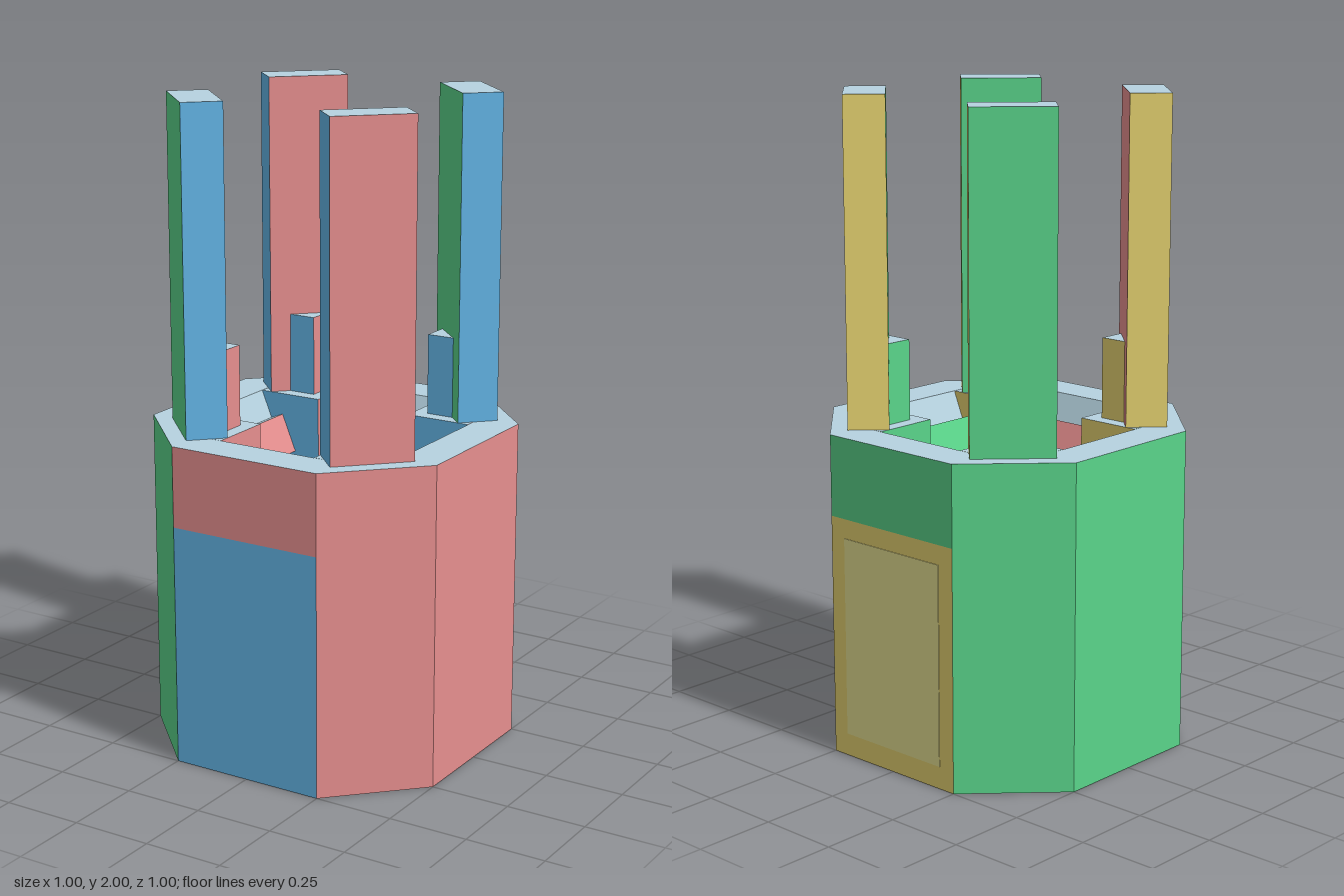
import * as THREE from 'three';

const flat = (name, color) => {
  const m = new THREE.MeshStandardMaterial({ color });
  m.name = name;
  return m;
};

export function createModel() {
  const red = flat('red', 0xe89090);
  const green = flat('green', 0x5ad48a);
  const blue = flat('blue', 0x68bcf0);
  const yellow = flat('yellow', 0xe8d471);
  const paleYellow = flat('pale yellow', 0xede796);
  const light = flat('light grey blue', 0xb6d3e0);
  const dark = flat('dark slate', 0x3a444c);

  // Face order: +x, -x, +y, -y, +z, -z
  const compass = [red, green, light, dark, blue, yellow];
  const model = new THREE.Group();
  model.name = 'octagonalTower';

  const box = (parent, name, size, pos, mats) => {
    const mesh = new THREE.Mesh(new THREE.BoxGeometry(...size), mats);
    mesh.name = name;
    mesh.position.set(...pos);
    parent.add(mesh);
    return mesh;
  };

  // Four straight sides, each built facing +z and then turned into place
  const sides = [
    { name: 'front', turn: 0, outer: blue, inner: yellow, bar: red, ledge: red },
    { name: 'left', turn: 1, outer: red, inner: green, bar: red, ledge: green },
    { name: 'back', turn: 2, outer: yellow, inner: blue, bar: green, ledge: red },
    { name: 'right', turn: 3, outer: green, inner: red, bar: green, ledge: red },
  ];
  const tilt = Math.PI / 8;
  for (const s of sides) {
    const side = new THREE.Group();
    side.name = s.name + 'Side';
    side.rotation.y = s.turn * Math.PI / 2;
    model.add(side);
    box(side, 'wall', [0.5, 0.75, 0.25], [0, 0.375, 0.375],
      [red, green, light, dark, s.outer, s.inner]);
    box(side, 'topBar', [0.5, 0.25, 0.125], [0, 0.875, 0.4375],
      [red, green, light, dark, s.bar, s.inner]);
    // Leaning ledge and the steep slope behind it
    const ledge = box(side, 'ledge', [0.4, 0.125, 0.17], [0, 0.842, 0.352],
      [red, green, light, dark, s.outer, s.ledge]);
    const slope = box(side, 'slope', [0.4, 0.18, 0.06], [0, 0.9055, 0.368],
      [red, green, light, dark, s.outer, light]);
    ledge.rotation.x = slope.rotation.x = tilt;
  }

  // Pale panels on the yellow wall faces
  for (const z of [-0.5, 0.25]) {
    box(model, 'palePanel', [0.39, 0.62, 0.004], [0, 0.38, z], paleYellow);
  }

  // Diagonal walls, inner posts, stubs and tall pillars at the four corners
  for (const sx of [1, -1]) {
    for (const sz of [1, -1]) {
      const turn = -sx * sz * Math.PI / 4;
      const c = 0.375 - 0.0625 * Math.SQRT1_2;
      const wall = box(model, 'cornerWall', [0.125, 1, 0.25 * Math.SQRT2],
        [sx * c, 0.5, sz * c], compass);
      wall.rotation.y = turn;
      const pillar = box(model, 'pillar', [0.125, 1, 0.25],
        [sx * 0.295, 1.5, sz * 0.295], compass);
      pillar.rotation.y = turn;
      box(model, 'innerPost', [0.21, 1, 0.21], [sx * 0.268, 0.5, sz * 0.268], compass);
      box(model, 'postStub', [0.125, 0.25, 0.125], [sx * 0.2695, 1.125, sz * 0.2695], compass);
    }
  }
  return model;
}
